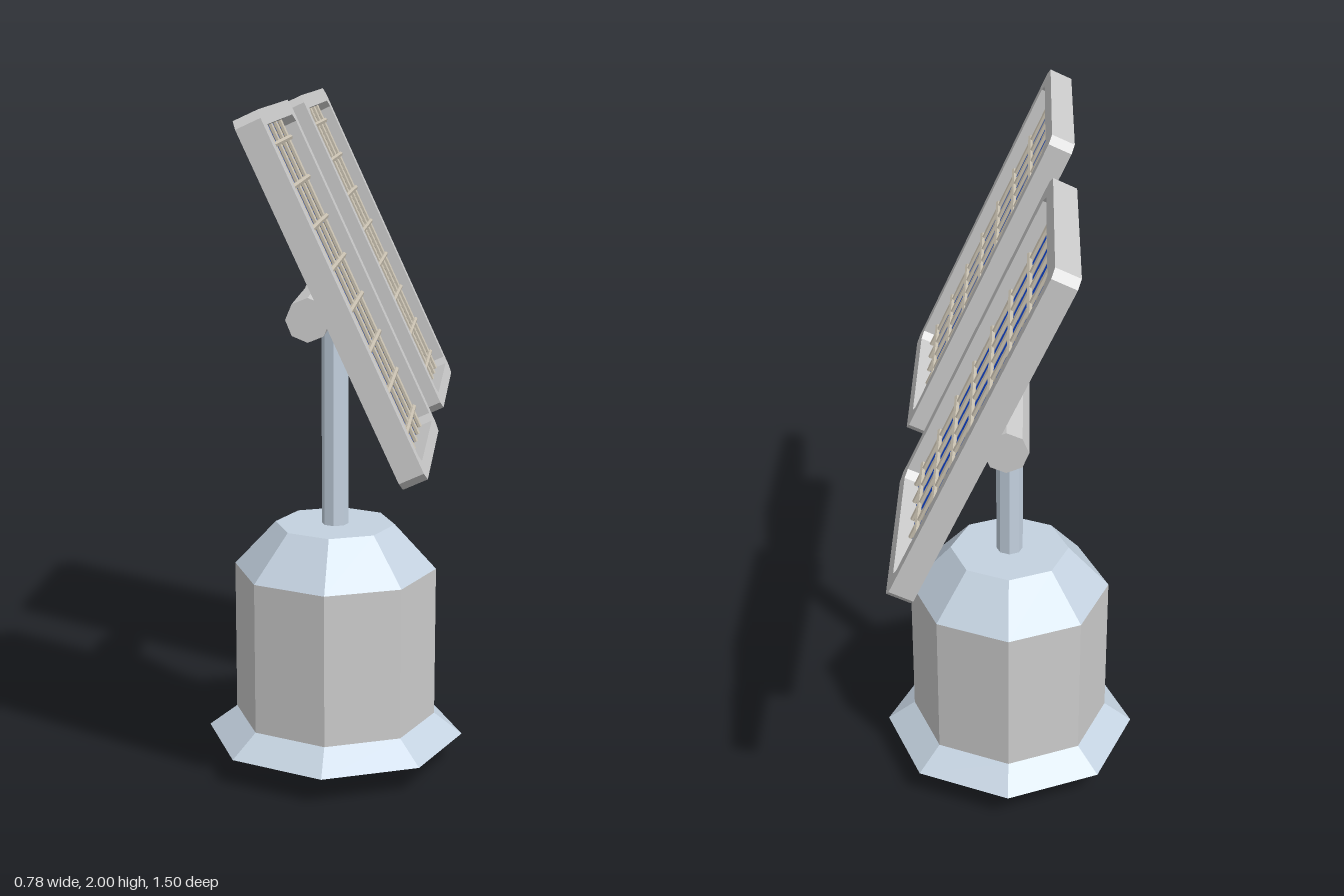
import * as THREE from 'three';

const material = (color) => new THREE.MeshStandardMaterial({ color, flatShading: true });

// rectangle with cut corners, centred on the origin
function cutRect(Type, w, h, c) {
  const x = w / 2, y = h / 2;
  return new Type([
    [-x + c, -y], [x - c, -y], [x, -y + c], [x, y - c],
    [x - c, y], [-x + c, y], [-x, y - c], [-x, -y + c],
  ].map(([px, py]) => new THREE.Vector2(px, py)));
}

export function createModel() {
  const model = new THREE.Group();
  const grey = material(0xcccccc);
  const steel = material(0xc4d2e0);
  const blue = material(0x1450f0);
  const wire = material(0xc8c0b0);

  function add(parent, name, geometry, mat, x = 0, y = 0, z = 0) {
    const mesh = new THREE.Mesh(geometry, mat);
    mesh.name = name;
    mesh.position.set(x, y, z);
    parent.add(mesh);
    return mesh;
  }

  // upright eight-sided sections, from the ground up
  const sections = [
    ['foot', 0.165, 0.165, 0, 0.085, steel],
    ['skirt', 0.39, 0.305, 0.085, 0.15, steel],
    ['body', 0.305, 0.305, 0.15, 0.61, grey],
    ['cap', 0.305, 0.18, 0.61, 0.745, steel],
    ['pole', 0.04, 0.04, 0.745, 1.44, steel],
  ];
  for (const [name, bottom, top, y0, y1, mat] of sections) {
    add(model, name, new THREE.CylinderGeometry(top, bottom, y1 - y0, 8), mat, 0, (y0 + y1) / 2, 0);
  }

  // horizontal axle: hub, then a narrow neck and an arm on each side
  const axleY = 1.47;
  function axlePart(name, radius, z0, z1) {
    const g = new THREE.CylinderGeometry(radius, radius, z1 - z0, 8).rotateX(Math.PI / 2);
    add(model, name, g, grey, 0, axleY, (z0 + z1) / 2);
  }
  axlePart('hub', 0.076, -0.1, 0.1);
  axlePart('neckLeft', 0.045, 0.09, 0.12);
  axlePart('neckRight', 0.045, -0.12, -0.09);
  axlePart('armLeft', 0.058, 0.118, 0.68);
  axlePart('armRight', 0.058, -0.68, -0.118);

  // tilted panels facing +x
  const W = 0.61, H = 1.025, T = 0.07, back = 0.025, rim = 0.042;
  const tilt = THREE.MathUtils.degToRad(24.8);

  function panel(name, z) {
    const group = new THREE.Group();
    group.name = name;
    group.position.set(0.0675, 1.5225, z);
    group.rotation.set(0, Math.PI / 2, tilt, 'ZYX');
    model.add(group);

    // tray: solid back plate with a raised rim
    add(group, 'backPlate', new THREE.ExtrudeGeometry(cutRect(THREE.Shape, W, H, 0.022),
      { depth: back, bevelEnabled: false }), grey, 0, 0, -T / 2);
    const rimShape = cutRect(THREE.Shape, W, H, 0.022);
    rimShape.holes.push(cutRect(THREE.Path, W - 2 * rim, H - 2 * rim, 0.02));
    add(group, 'rim', new THREE.ExtrudeGeometry(rimShape,
      { depth: T - back, bevelEnabled: false }), grey, 0, 0, -T / 2 + back);

    // cell sheet on the tray floor
    const floor = -T / 2 + back;
    add(group, 'cells', new THREE.ShapeGeometry(
      cutRect(THREE.Shape, W - 2 * rim, H - 2 * rim, 0.02)), blue, 0, 0, floor + 0.002);

    // wire grid over the cells
    for (let i = 0; i < 6; i++) {
      add(group, 'longWire', new THREE.CylinderGeometry(0.007, 0.007, H - 2 * rim, 6),
        wire, (i - 2.5) * 0.0917, 0, floor + 0.008);
    }
    for (let i = 0; i < 8; i++) {
      const g = new THREE.CylinderGeometry(0.008, 0.008, W - 2 * rim, 6).rotateZ(Math.PI / 2);
      add(group, 'crossWire', g, wire, 0, (i - 3.5) * 0.119, floor + 0.011);
    }
  }
  panel('panelLeft', 0.445);
  panel('panelRight', -0.445);

  return model;
}
